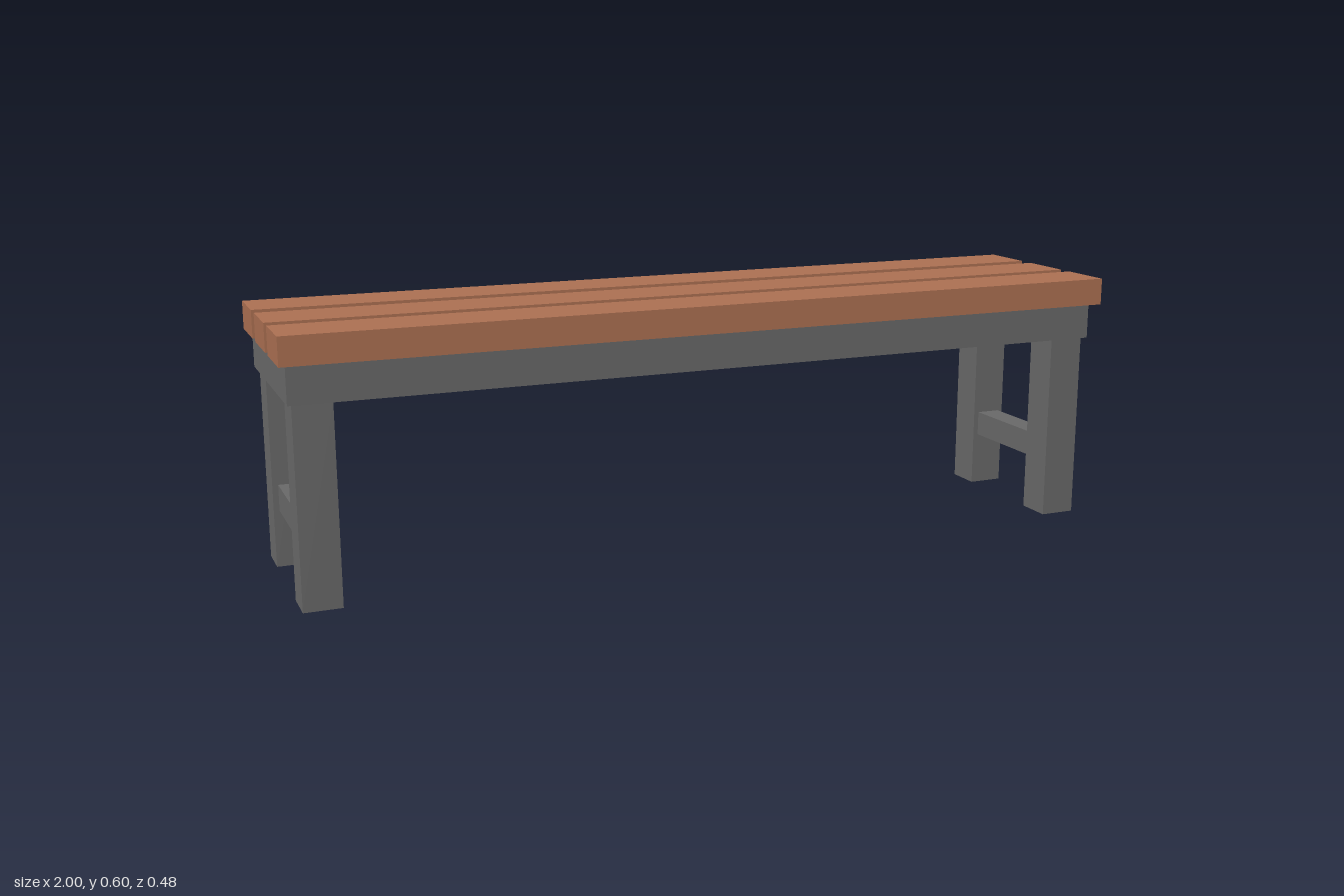
import * as THREE from 'three';

export function createModel() {
  const bench = new THREE.Group();
  bench.name = 'bench';
  const wood = new THREE.MeshStandardMaterial({ color: 0xac7052 });
  wood.name = 'warm brown wood';
  const metal = new THREE.MeshStandardMaterial({ color: 0x696969 });
  metal.name = 'dark grey frame';

  // Box given by its extents along each axis
  function box(parent, name, material, [x0, x1], [y0, y1], [z0, z1]) {
    const mesh = new THREE.Mesh(new THREE.BoxGeometry(x1 - x0, y1 - y0, z1 - z0), material);
    mesh.position.set((x0 + x1) / 2, (y0 + y1) / 2, (z0 + z1) / 2);
    mesh.name = name;
    parent.add(mesh);
  }

  // Three seat planks
  [['backPlank', -0.24, -0.105], ['middlePlank', -0.065, 0.07], ['frontPlank', 0.105, 0.24]]
    .forEach(([name, z0, z1]) => box(bench, name, wood, [-1, 1], [0.534, 0.598], [z0, z1]));

  // Supporting frame, sitting very slightly off centre under the planks
  const frame = new THREE.Group();
  frame.name = 'frame';
  frame.position.set(-0.005, 0, 0.005);
  bench.add(frame);

  const X = 0.98, Z = 0.22, rail = 0.11;
  const span = (side, inner, outer) => (side > 0 ? [inner, outer] : [-outer, -inner]);

  // Long rails run the full length; end rails fit between them
  for (const s of [-1, 1]) {
    box(frame, s > 0 ? 'frontRail' : 'backRail', metal, [-X, X], [0.45, 0.534], span(s, Z - rail, Z));
    box(frame, s > 0 ? 'leftEndRail' : 'rightEndRail', metal,
      span(s, X - rail, X), [0.45, 0.534], [rail - Z, Z - rail]);
  }

  // Legs with a low stretcher joining each pair
  for (const sx of [-1, 1]) {
    const side = sx > 0 ? 'left' : 'right';
    for (const sz of [-1, 1]) {
      box(frame, side + (sz > 0 ? 'FrontLeg' : 'BackLeg'), metal,
        span(sx, 0.884, 0.97), [0, 0.45], span(sz, 0.123, 0.209));
    }
    box(frame, side + 'Stretcher', metal, span(sx, 0.897, 0.957), [0.132, 0.193], [-0.123, 0.123]);
  }
  return bench;
}
